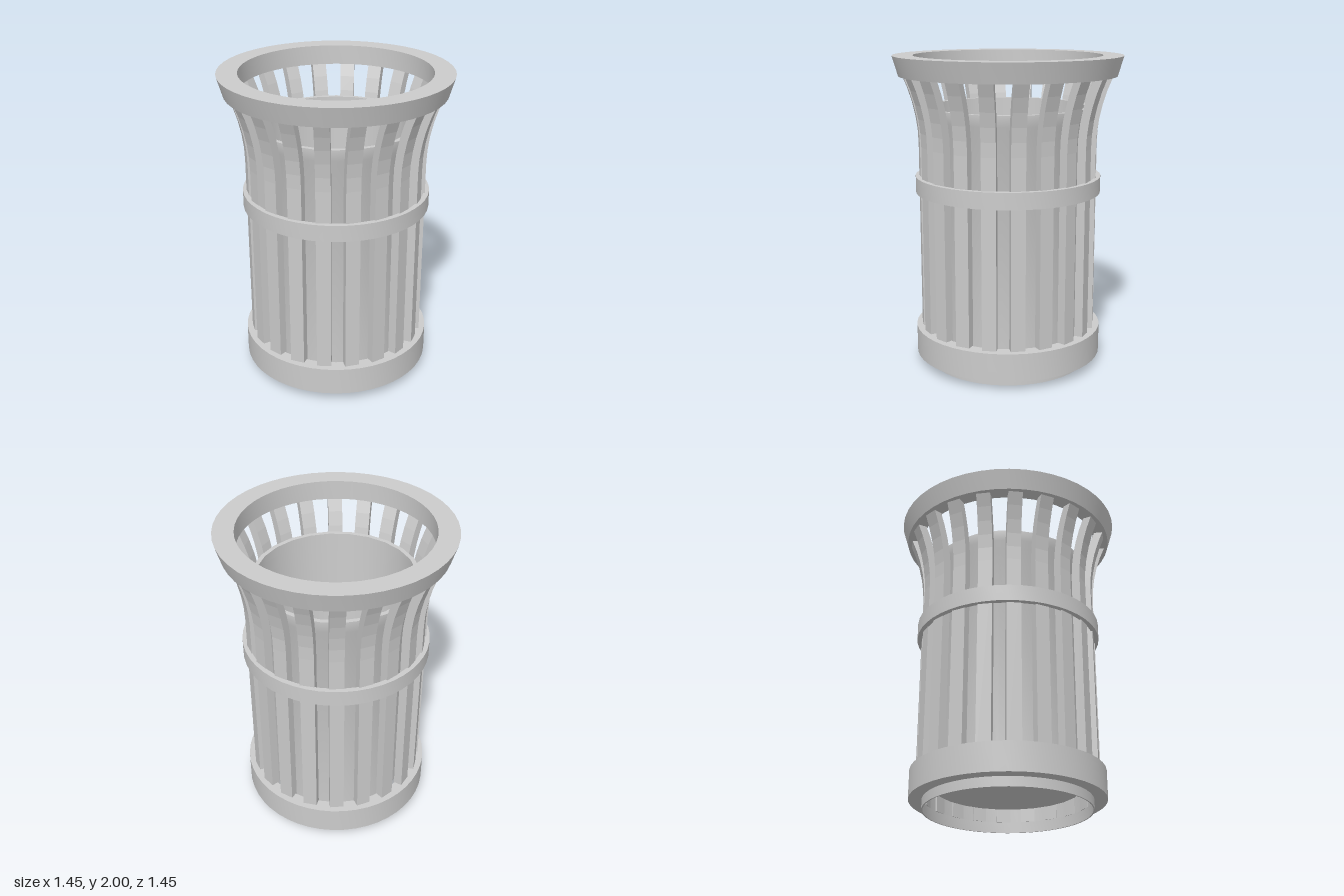
import * as THREE from 'three';
import { toCreasedNormals } from 'three/addons/utils/BufferGeometryUtils.js';

const material = new THREE.MeshStandardMaterial({ color: 0xcccccc });

// Closed [radius, y] profile turned about the y axis (outer side listed upward)
function turned(name, profile, sides, crease = 0.6) {
  const points = profile.map(([r, y]) => new THREE.Vector2(r, y));
  const geometry = toCreasedNormals(new THREE.LatheGeometry(points, sides), crease);
  const mesh = new THREE.Mesh(geometry, material);
  mesh.name = name;
  return mesh;
}

// Rectangular band between two radii and two heights
function band(name, inner, outer, bottom, top, sides = 48) {
  return turned(name, [[inner, bottom], [outer, bottom], [outer, top], [inner, top], [inner, bottom]], sides);
}

// Upright slat: straight below, curving outward towards the rim
function slatGeometry() {
  const inner = 0.51, outer = 0.565, bottom = 0.07, bend = 1.44, top = 1.885;
  const width = 0.09, steps = 5;
  const flare = [];
  for (let i = 0; i <= steps; i++) {
    const t = i / steps;
    flare.push([0.1 * t * t, bend + (top - bend) * t]);
  }
  const outline = [
    [inner, bottom], [outer, bottom],
    ...flare.map(([d, y]) => [outer + d, y]),
    ...flare.map(([d, y]) => [inner + d, y]).reverse(),
  ];
  const shape = new THREE.Shape(outline.map(([r, y]) => new THREE.Vector2(r, y)));
  const geometry = new THREE.ExtrudeGeometry(shape, { depth: width, bevelEnabled: false });
  return geometry.rotateY(-Math.PI / 2);
}

export function createModel() {
  const model = new THREE.Group();
  model.name = 'litterBin';

  // Flared rim at the top
  model.add(turned('topRim', [
    [0.597, 1.875], [0.69, 1.875], [0.727, 2], [0.597, 2], [0.597, 1.875],
  ], 48));

  // Hoop around the slats, base ring and the recessed foot below it
  model.add(band('middleHoop', 0.562, 0.595, 1.135, 1.24));
  model.add(band('baseRing', 0.522, 0.607, 0.06, 0.24));
  model.add(band('foot', 0.517, 0.525, 0, 0.07));

  // Ring of slats
  const slats = new THREE.Group();
  slats.name = 'slats';
  const geometry = slatGeometry();
  const count = 20;
  for (let i = 0; i < count; i++) {
    const slat = new THREE.Mesh(geometry, material);
    slat.name = 'slat';
    slat.rotation.y = (i / count) * Math.PI * 2;
    slats.add(slat);
  }
  model.add(slats);

  // Tapered inner container with a thick lip
  model.add(turned('innerContainer', [
    [0, 0.14], [0.455, 0.14], [0.495, 1.57], [0.516, 1.61], [0.518, 1.68],
    [0.49, 1.68], [0.452, 0.17], [0, 0.17],
  ], 24, 0.9));

  return model;
}
